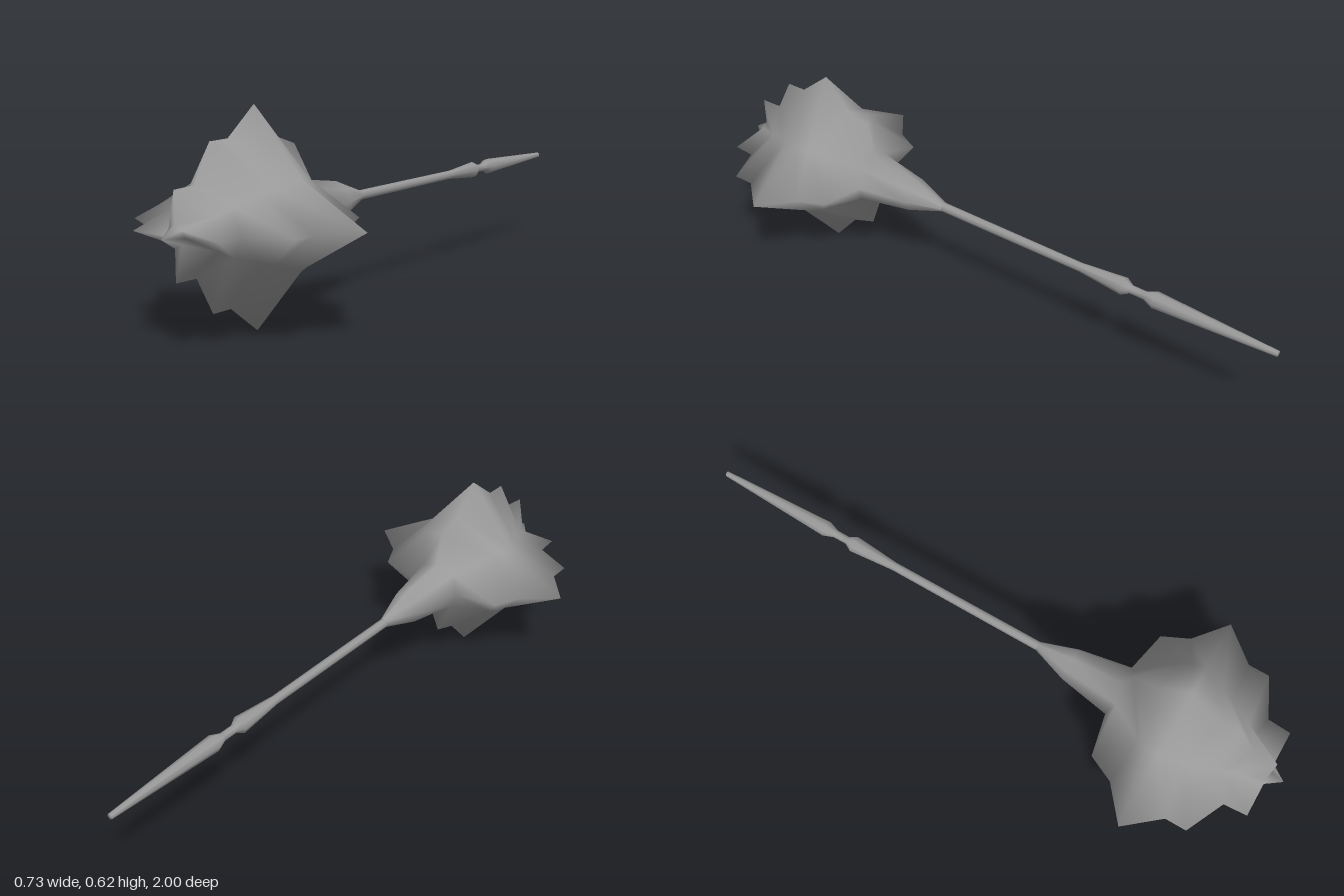
import * as THREE from 'three';
import { mergeVertices } from 'three/addons/utils/BufferGeometryUtils.js';

const CENTRE_Y = 0.309;

// Rings from front to back: [spike z, spike x, spike y, valley z, valley x, valley y]
const HEAD_RINGS = [
  [1, 0, 0, 1, 0, 0],
  [0.952, 0.035, 0.03, 0.95, 0.022, 0.018],
  [0.952, 0.145, 0.118, 0.86, 0.062, 0.047],
  [0.877, 0.15, 0.12, 0.83, 0.085, 0.065],
  [0.818, 0.275, 0.225, 0.755, 0.115, 0.088],
  [0.749, 0.275, 0.226, 0.72, 0.128, 0.098],
  [0.642, 0.365, 0.308, 0.642, 0.157, 0.12],
  [0.556, 0.26, 0.215, 0.6, 0.15, 0.115],
  [0.472, 0.22, 0.187, 0.57, 0.135, 0.105],
  [0.444, 0.085, 0.082, 0.46, 0.06, 0.058],
  [0.278, 0.055, 0.057, 0.278, 0.038, 0.038],
  [0.162, 0.015, 0.015, 0.162, 0.0106, 0.0106],
];

// Eight-point star loft: spikes on the axes, valleys on the diagonals
function starLoft(rings) {
  const positions = [];
  const index = [];
  rings.forEach(([sz, sx, sy, vz, vx, vy], i) => {
    for (let j = 0; j < 8; j++) {
      const a = (j * Math.PI) / 4;
      const c = Math.cos(a), s = Math.sin(a);
      if (j % 2 === 0) positions.push(Math.round(c) * sx, Math.round(s) * sy, sz);
      else positions.push(Math.sign(c) * vx, Math.sign(s) * vy, vz);
      if (i === rings.length - 1) continue;
      const p = i * 8 + j, q = i * 8 + ((j + 1) % 8);
      index.push(p, p + 8, q, q, p + 8, q + 8);
    }
  });
  let geometry = new THREE.BufferGeometry();
  geometry.setAttribute('position', new THREE.Float32BufferAttribute(positions, 3));
  geometry.setIndex(index);
  geometry = mergeVertices(geometry);
  geometry.computeVertexNormals();
  return geometry;
}

export function createModel() {
  const model = new THREE.Group();
  model.name = 'spikedMace';
  const steel = new THREE.MeshStandardMaterial({ color: 0x999999 });
  steel.name = 'steel';

  function add(name, geometry) {
    const mesh = new THREE.Mesh(geometry, steel);
    mesh.name = name;
    mesh.position.y = CENTRE_Y;
    model.add(mesh);
  }

  // Spiked head flowing into the tapered neck
  add('spikedHead', starLoft(HEAD_RINGS));

  // Slim shaft with a collar and a long tapered grip: [radius, z]
  const shaft = [
    [0, -1], [0.009, -1], [0.026, -0.615], [0.013, -0.58],
    [0.013, -0.535], [0.027, -0.51], [0.014, -0.36], [0.015, 0.165],
  ].map(([r, z]) => new THREE.Vector2(r, z));
  add('handle', new THREE.LatheGeometry(shaft, 8).rotateX(Math.PI / 2));

  return model;
}
